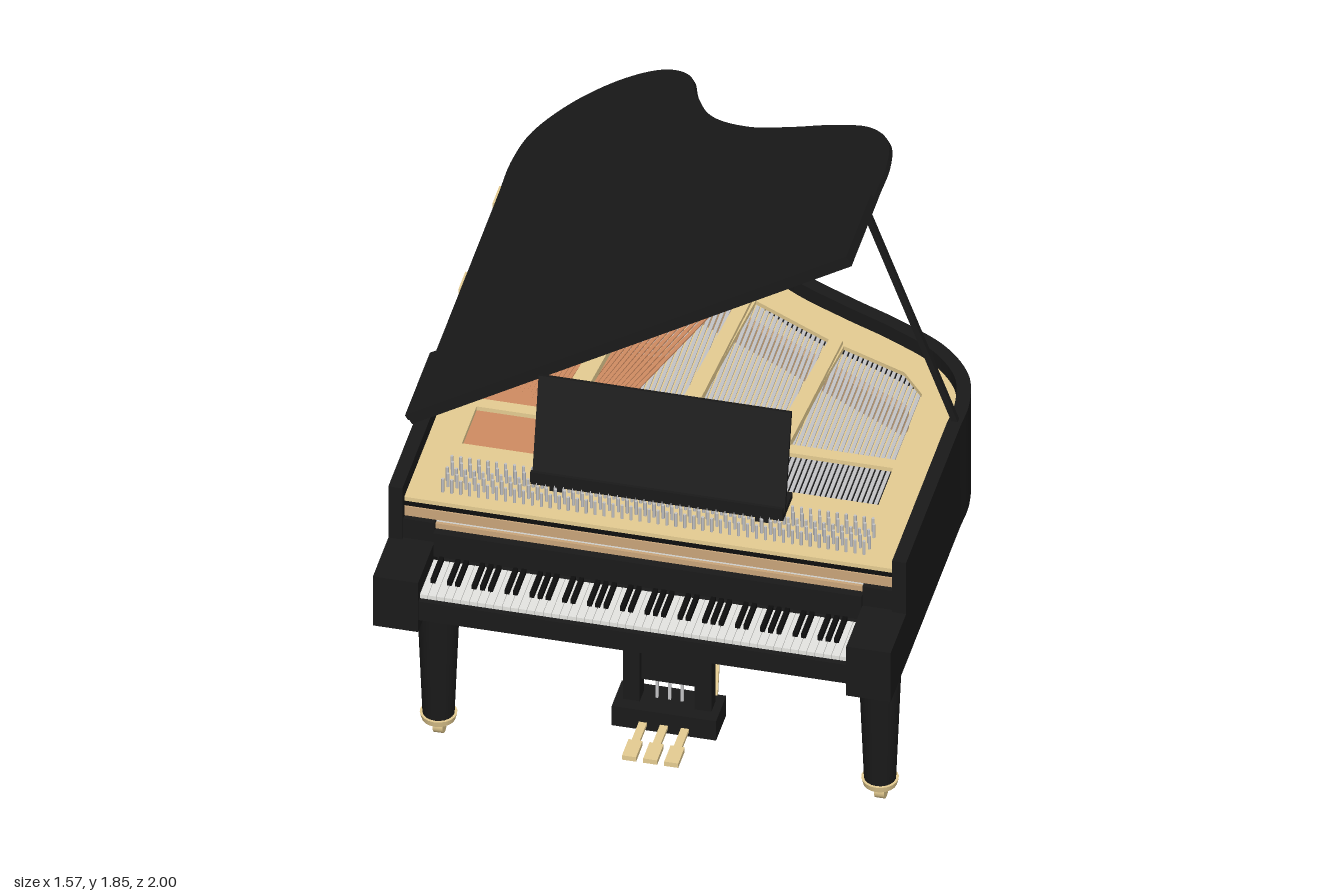
import * as THREE from 'three';
import { toCreasedNormals } from 'three/addons/utils/BufferGeometryUtils.js';

const mat = (name, color) => {
  const m = new THREE.MeshStandardMaterial({ color });
  m.name = name;
  return m;
};

export function createModel() {
  const black = mat('black lacquer', 0x1a1a1a), ebony = mat('ebony', 0x0e0e0e);
  const gold = mat('gold', 0xe6cd92), wood = mat('wood', 0xcaa57a);
  const ivory = mat('ivory', 0xe6e6e2), steel = mat('steel', 0xc4c4c6);
  const copper = mat('copper', 0xd08c62);
  const root = new THREE.Group();
  root.name = 'grandPiano';

  const add = (name, geo, m, parent = root) => {
    const mesh = new THREE.Mesh(geo, m);
    mesh.name = name;
    parent.add(mesh);
    return mesh;
  };
  // box from its minimum and maximum corner
  const box = (name, m, x0, x1, y0, y1, z0, z1, parent = root) => {
    const mesh = add(name, new THREE.BoxGeometry(x1 - x0, y1 - y0, z1 - z0), m, parent);
    mesh.position.set((x0 + x1) / 2, (y0 + y1) / 2, (z0 + z1) / 2);
    return mesh;
  };
  // straight bar between two points
  const bar = (name, m, a, b, w, h, parent = root) => {
    const p = new THREE.Vector3(...a), q = new THREE.Vector3(...b);
    const mesh = add(name, new THREE.BoxGeometry(w, h, p.distanceTo(q)), m, parent);
    mesh.position.copy(p).add(q).multiplyScalar(0.5);
    mesh.lookAt(q);
    return mesh;
  };
  const group = (name) => {
    const g = new THREE.Group();
    g.name = name;
    root.add(g);
    return g;
  };
  // horizontal slab from plan points (x, z)
  const slab = (pts, holes, top, depth) => {
    const shape = new THREE.Shape(pts);
    shape.holes = holes.map((h) => new THREE.Path(h.map((p) => new THREE.Vector2(...p))));
    const g = new THREE.ExtrudeGeometry(shape, { depth, bevelEnabled: false });
    return toCreasedNormals(g.rotateX(Math.PI / 2).translate(0, top, 0), 0.5);
  };

  // plan outline of the case, from front left round the tail to front right
  const curve = new THREE.CatmullRomCurve3([
    [-0.765, -0.6], [-0.765, -0.76], [-0.73, -0.88], [-0.62, -0.965], [-0.45, -1], [-0.285, -0.968],
    [-0.17, -0.88], [-0.115, -0.76], [-0.015, -0.605], [0.16, -0.465], [0.33, -0.38], [0.5, -0.305],
    [0.655, -0.215], [0.75, -0.1], [0.783, 0.03], [0.783, 0.15],
  ].map(([x, z]) => new THREE.Vector3(x, 0, z)), false, 'centripetal');
  const outline = (inset, front) => {
    const pts = [new THREE.Vector2(-0.765 + inset, front)];
    for (let i = 0; i <= 110; i++) {
      const p = curve.getPoint(i / 110), t = curve.getTangent(i / 110);
      pts.push(new THREE.Vector2(p.x - t.z * inset, p.z + t.x * inset));
    }
    pts.push(new THREE.Vector2(0.783 - inset, front));
    return pts;
  };

  // case
  const rim = [...outline(0, 0.81), ...outline(0.042, 0.81).reverse()];
  add('rim', slab(rim, [], 0.998, 0.368), black);
  add('soundboard', slab(outline(0.04, 0.3), [], 0.815, 0.015), gold);
  for (const [x0, x1] of [[-0.765, -0.63], [0.65, 0.783]]) {
    box('keyArm', black, x0, x1, 0.63, 0.81, 0.76, 1);
    box('cheekBlock', black, x0, x1, 0.8, 0.88, 0.74, 0.8);
  }
  box('keybed', black, -0.735, 0.755, 0.672, 0.715, 0.28, 0.985);
  box('bellyRail', black, -0.735, 0.755, 0.632, 0.9, 0.27, 0.32);
  box('keySlip', black, -0.63, 0.65, 0.672, 0.74, 0.98, 0.997);
  box('fallboard', black, -0.63, 0.65, 0.765, 0.85, 0.775, 0.81);
  box('pinBlock', wood, -0.722, 0.74, 0.885, 0.918, 0.52, 0.79);
  box('pinBlockFelt', ebony, -0.722, 0.74, 0.918, 0.935, 0.52, 0.785);
  box('hammerRow', ivory, -0.63, 0.65, 0.868, 0.885, 0.7, 0.775);
  box('hammerRail', wood, -0.63, 0.65, 0.85, 0.868, 0.7, 0.785);

  // beams and ribs under the soundboard
  [[0.62, 0.2, 0.05, -0.46], [0.32, 0.28, -0.3, -0.92], [-0.05, 0.28, -0.6, -0.76]].forEach(
    ([x0, z0, x1, z1]) => bar('beam', black, [x0, 0.69, z0], [x1, 0.69, z1], 0.08, 0.1));
  for (let i = 0; i < 6; i++) {
    bar('rib', gold, [-0.7, 0.793, 0.1 - i * 0.15], [-0.3 + 0.1 * (5 - i), 0.793, 0.25 - i * 0.15], 0.02, 0.016);
  }

  // iron plate with openings
  const holes = [
    [[-0.66, 0.28], [-0.4, 0.28], [-0.28, -0.72], [-0.37, -0.86], [-0.52, -0.88], [-0.64, -0.78], [-0.66, -0.65]],
    [[-0.35, 0.28], [-0.06, 0.28], [0, -0.39], [-0.12, -0.49], [-0.23, -0.7]],
    [[-0.01, 0.28], [0.25, 0.28], [0.3, -0.23], [0.05, -0.36]],
    [[0.3, 0.28], [0.625, 0.28], [0.625, -0.04], [0.55, -0.13], [0.35, -0.21]],
  ];
  const spans = [[-0.62, -0.39], [-0.34, -0.05], [0, 0.26], [0.31, 0.625]];
  for (const [a, b] of spans) holes.push([[a, 0.32], [b, 0.32], [b, 0.5], [a, 0.5]]);
  add('ironPlate', slab(outline(0.04, 0.787), holes, 0.95, 0.014), gold);
  [[[-0.37, 0.5], [-0.25, -0.74]], [[-0.03, 0.5], [0.03, -0.4]], [[0.28, 0.5], [0.33, -0.22]]].forEach(
    ([a, b]) => bar('plateStrut', gold, [a[0], 0.952, a[1]], [b[0], 0.952, b[1]], 0.03, 0.024));

  // strings, running under the plate
  const strings = group('strings');
  const edge = outline(0.1, 0.3).slice(45, -1);
  for (let i = 0; i < 62; i++) {
    const x = -0.34 + i * 0.0158;
    const back = edge.reduce((b, p) => (Math.abs(p.x - x) < Math.abs(b.x - x) ? p : b));
    bar('trebleString', steel, [x, 0.922, 0.515], [x, 0.922, Math.min(back.y, 0.1)], 0.0105, 0.004, strings);
  }
  for (let i = 0; i < 36; i++) {
    const t = i / 35;
    bar('bassString', copper, [-0.65 + 0.33 * t, 0.93, 0.515], [-0.62 + 0.6 * t, 0.93, -0.86 + 0.4 * t], 0.0115, 0.005, strings);
  }
  bar('bassBridge', wood, [-0.58, 0.86, -0.7], [-0.1, 0.86, -0.42], 0.03, 0.09);
  bar('trebleBridge', wood, [-0.15, 0.86, -0.42], [0.58, 0.86, -0.02], 0.03, 0.09);

  // tuning pins
  const pins = group('tuningPins');
  const pinGeo = new THREE.CylinderGeometry(0.0048, 0.0048, 0.052, 6);
  for (let r = 0; r < 5; r++) {
    for (let i = 0; i < 48; i++) {
      const x = -0.62 + i * 0.0268 + (r % 2) * 0.009;
      add('tuningPin', pinGeo, steel, pins).position.set(x, 0.972, 0.625 + r * 0.028);
    }
  }

  // keyboard: 52 white keys, black keys in groups of two and three
  const keys = group('keyboard');
  const pitch = 1.28 / 52;
  for (let i = 0; i < 52; i++) {
    const x = -0.63 + i * pitch;
    box('whiteKey', ivory, x + 0.0007, x + pitch - 0.0007, 0.715, 0.754, 0.81, 0.98, keys);
    if (i < 51 && [0, 2, 3, 5, 6].includes(i % 7)) {
      box('blackKey', ebony, x + pitch - 0.007, x + pitch + 0.007, 0.74, 0.769, 0.81, 0.92, keys);
    }
  }

  // raised lid with folded front flap
  const lid = group('lid');
  lid.position.set(-0.768, 0.997, 0);
  lid.rotation.z = 0.557;
  const lidGeo = slab(outline(0, 0.505), [], 0.018, 0.018);
  add('lidPanel', lidGeo.translate(0.765, 0, 0), black, lid);
  box('lidFlap', black, -0.002, 1.552, 0.018, 0.036, 0.2, 0.507, lid);
  for (const z of [-0.6, -0.18, 0.3]) box('hinge', gold, -0.785, -0.762, 0.99, 1.008, z - 0.042, z + 0.042);
  bar('lidProp', black, [0.768, 0.98, 0.115], [0.475, 1.772, 0.115], 0.018, 0.018);

  // music desk
  box('deskTray', black, -0.37, 0.385, 0.985, 1.005, 0.57, 0.685);
  box('deskLedge', black, -0.37, 0.385, 0.995, 1.032, 0.68, 0.69);
  for (const x of [-0.3, 0.315]) box('deskFoot', black, x - 0.02, x + 0.02, 0.948, 0.986, 0.59, 0.66);
  const desk = box('musicDesk', black, -0.37, 0.385, 0.998, 1.312, 0.612, 0.626);
  desk.rotation.x = -0.25;

  // legs with brass casters
  for (const [x, z] of [[-0.65, 0.665], [0.67, 0.665], [-0.43, -0.645]]) {
    const leg = group('leg');
    leg.position.set(x, 0, z);
    box('legBlock', black, -0.076, 0.076, 0.567, 0.634, -0.076, 0.076, leg);
    add('legPost', new THREE.CylinderGeometry(0.066, 0.047, 0.49, 20), black, leg).position.y = 0.328;
    add('casterCollar', new THREE.CylinderGeometry(0.055, 0.05, 0.02, 20), gold, leg).position.y = 0.075;
    box('casterFork', gold, -0.012, 0.012, 0.035, 0.07, -0.03, 0.01, leg);
    const wheel = add('casterWheel', new THREE.CylinderGeometry(0.033, 0.033, 0.03, 20), gold, leg);
    wheel.rotation.z = Math.PI / 2;
    wheel.position.set(0, 0.033, -0.02);
  }
  box('rearLegRail', black, -0.53, -0.33, 0.632, 0.8, -0.72, -0.57);

  // pedal lyre
  const lyre = group('pedalLyre');
  lyre.position.x = 0.008;
  box('pedalBox', black, -0.156, 0.156, 0.076, 0.147, 0.475, 0.6, lyre);
  box('lyrePanel', black, -0.085, 0.085, 0.215, 0.66, 0.515, 0.54, lyre);
  for (const s of [-1, 1]) {
    box('lyrePost', black, s * 0.107 - 0.025, s * 0.107 + 0.025, 0.14, 0.676, 0.51, 0.56, lyre);
    bar('lyreBrace', gold, [s * 0.116, 0.13, 0.48], [s * 0.116, 0.645, 0.295], 0.014, 0.014, lyre);
  }
  for (const x of [-0.063, 0, 0.063]) {
    box('pedalNeck', gold, x - 0.012, x + 0.012, 0.092, 0.104, 0.59, 0.7, lyre);
    box('pedal', gold, x - 0.021, x + 0.021, 0.09, 0.106, 0.69, 0.77, lyre);
    box('pedalRod', steel, x * 0.6 - 0.004, x * 0.6 + 0.004, 0.14, 0.676, 0.524, 0.532, lyre);
  }
  return root;
}
